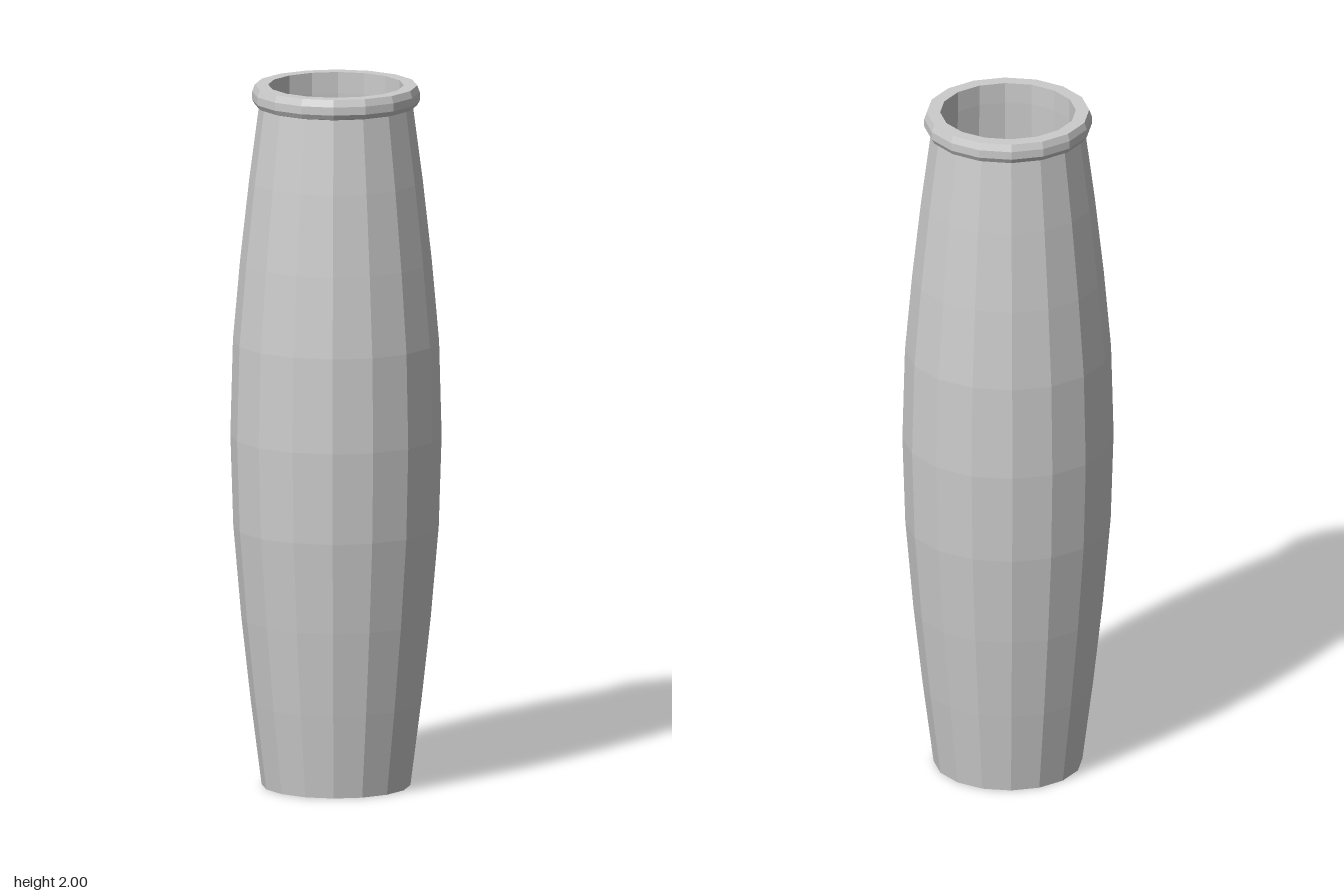
import * as THREE from 'three';

const SIDES = 16;

// Faceted solid of revolution; profile widths are measured to the flats.
function turned(name, profile) {
  const k = 1 / Math.cos(Math.PI / SIDES);
  const points = profile.map(([w, y]) => new THREE.Vector2(w * k, y));
  const geometry = new THREE.LatheGeometry(points, SIDES, Math.PI / SIDES);
  const material = new THREE.MeshStandardMaterial({ color: 0xcccccc, flatShading: true });
  const mesh = new THREE.Mesh(geometry, material);
  mesh.name = name;
  return mesh;
}

export function createModel() {
  const group = new THREE.Group();
  group.name = 'vase';

  // Barrel-shaped outer wall
  const barrel = [
    [0.205, 0], [0.235, 0.24], [0.261, 0.48], [0.283, 0.74], [0.291, 1.0],
    [0.284, 1.27], [0.264, 1.5], [0.239, 1.73], [0.212, 1.94],
  ];
  group.add(turned('body', [[0, 0], ...barrel]));

  // Rolled lip around the mouth
  group.add(turned('rim', [
    [0.212, 1.94], [0.223, 1.943], [0.231, 1.957], [0.231, 1.98], [0.224, 2.0], [0.187, 2.0],
  ]));

  // Hollow inside, following the outer wall down to a flat floor
  const wall = barrel.slice(1, -1).reverse().map(([w, y]) => [w - 0.045, y]);
  group.add(turned('inside', [[0.187, 2.0], [0.187, 1.94], ...wall, [0.16, 0.05], [0, 0.05]]));

  return group;
}
